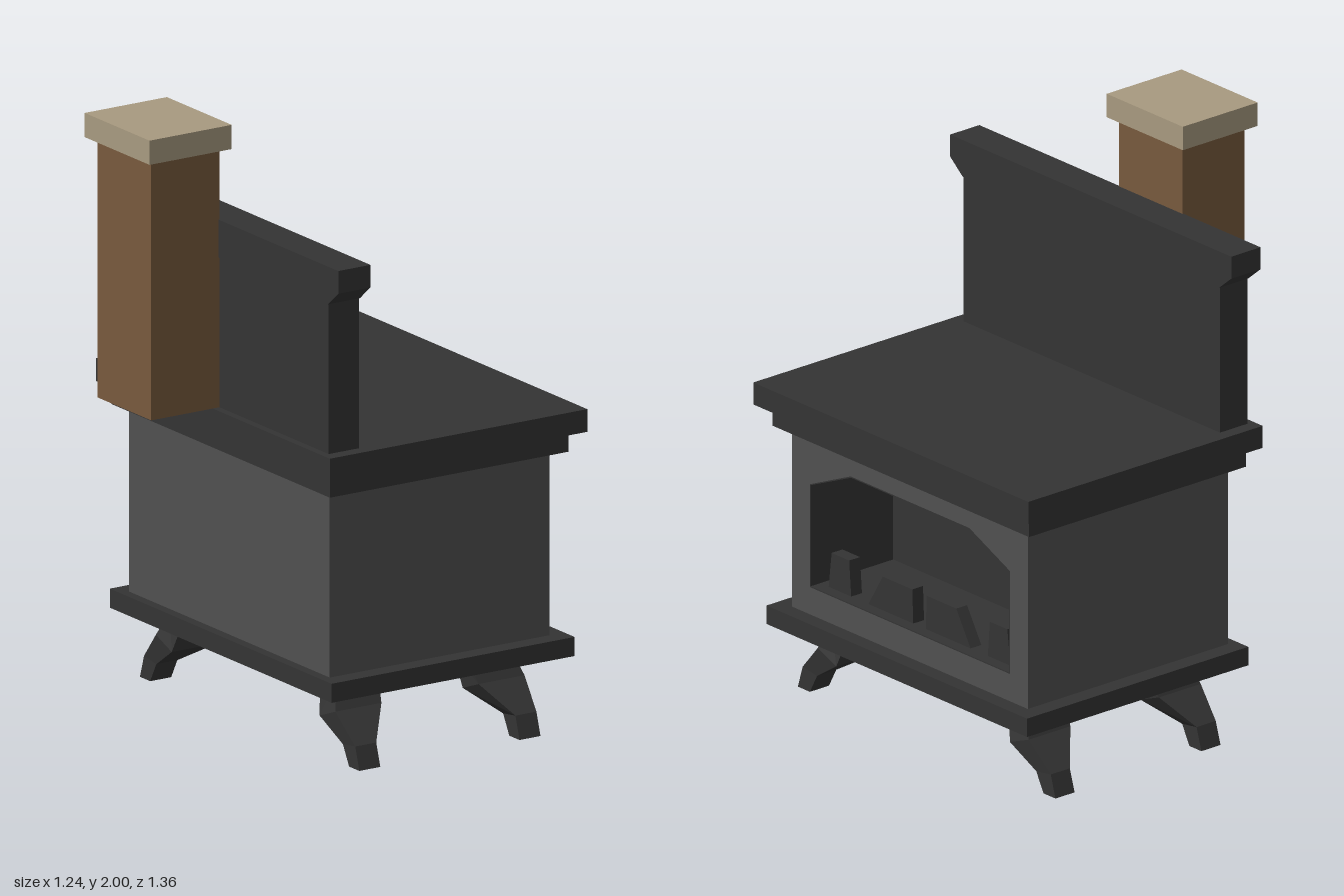
import * as THREE from 'three';

const mat = (color) => new THREE.MeshStandardMaterial({ color, flatShading: true });

export function createModel() {
  const group = new THREE.Group();
  const iron = mat(0x343434), steel = mat(0x505050), brick = mat(0x785a3d), stone = mat(0xa89a80);

  const add = (name, geometry, material) => {
    const mesh = new THREE.Mesh(geometry, material);
    mesh.name = name;
    group.add(mesh);
    return mesh;
  };
  // Box given by its limits on each axis
  const box = (name, material, [x0, x1], [y0, y1], [z0, z1]) =>
    add(name, new THREE.BoxGeometry(x1 - x0, y1 - y0, z1 - z0), material)
      .position.set((x0 + x1) / 2, (y0 + y1) / 2, (z0 + z1) / 2);

  const points = (list) => list.map(([u, y]) => new THREE.Vector2(u, y));
  // Outline in (-z, y), extruded along x from x0 to x1
  const slab = (name, material, outline, x0, x1, hole) => {
    const shape = new THREE.Shape(points(outline));
    if (hole) shape.holes.push(new THREE.Path(points(hole)));
    const g = new THREE.ExtrudeGeometry(shape, { depth: x1 - x0, bevelEnabled: false });
    add(name, g.rotateY(Math.PI / 2).translate(x0, 0, 0), material);
  };

  // Stacked plates
  box('basePlate', iron, [-0.33, 0.595], [0.245, 0.308], [-0.63, 0.63]);
  box('topTrim', iron, [-0.33, 0.578], [0.92, 0.99], [-0.62, 0.62]);
  box('topPlate', iron, [-0.36, 0.62], [0.99, 1.065], [-0.665, 0.665]);

  // Firebox body with an opening facing +x
  const opening = (e) => [
    [-0.48 - e, 0.405 - e], [0.48 + e, 0.405 - e], [0.48 + e, 0.75 + e / 2],
    [0.285 + e / 2, 0.835 + e], [-0.285 - e / 2, 0.835 + e], [-0.48 - e, 0.75 + e / 2],
  ];
  const wall = [[-0.57, 0.305], [0.57, 0.305], [0.57, 0.92], [-0.57, 0.92]];
  slab('fireboxWalls', steel, wall, 0.19, 0.54, opening(0.004));
  box('fireboxBack', steel, [-0.297, 0.19], [0.305, 0.92], [-0.57, 0.57]);
  slab('fireboxLining', iron, opening(0.004), 0.19, 0.54, opening(0));
  slab('fireboxBackLining', iron, opening(0.004), 0.185, 0.195);

  // Upright grate pieces inside the opening
  for (const s of [-1, 1]) {
    for (const outline of [
      [[0.33, 0.4], [0.44, 0.4], [0.425, 0.525], [0.34, 0.525]],
      [[0.03, 0.4], [0.25, 0.4], [0.178, 0.52], [0.035, 0.52]],
    ]) slab('gratePiece', iron, outline.map(([u, y]) => [s * u, y]), 0.455, 0.5);
  }

  // Back panel and flared cornice
  box('backPanel', iron, [-0.335, -0.22], [1.065, 1.6], [-0.62, 0.62]);
  slab('cornice', iron, [
    [-0.62, 1.56], [0.62, 1.56], [0.68, 1.61], [0.68, 1.685], [-0.68, 1.685], [-0.68, 1.61],
  ], -0.338, -0.216);

  // Chimney
  box('chimney', brick, [-0.595, -0.335], [1.065, 1.92], [-0.305, 0]);
  box('chimneyCap', stone, [-0.62, -0.307], [1.92, 2], [-0.34, 0.028]);

  // Bent legs lofted through four sections: [outer z, y], [inner z, y], [outer x, inner x]
  const sections = [
    [[0.47, 0.25], [0.385, 0.25], [0.335, 0.17]],
    [[0.51, 0.17], [0.42, 0.135], [0.36, 0.185]],
    [[0.6, 0.075], [0.53, 0.065], [0.345, 0.265]],
    [[0.623, 0], [0.565, 0], [0.345, 0.265]],
  ];
  const leg = (sx, sz) => {
    const pos = [], idx = [];
    const quad = (a, b, c, d) => idx.push(...(sx * sz > 0 ? [a, b, c, a, c, d] : [a, c, b, a, d, c]));
    for (const [o, i, [xo, xi]] of sections)
      for (const [x, [z, y]] of [[xi, o], [xo, o], [xo, i], [xi, i]])
        pos.push(0.125 + sx * x, y, sz * z);
    for (let s = 0; s < 3; s++)
      for (let k = 0; k < 4; k++) {
        const a = s * 4 + k, b = s * 4 + (k + 1) % 4;
        quad(a, a + 4, b + 4, b);
      }
    quad(0, 1, 2, 3);
    quad(15, 14, 13, 12);
    const g = new THREE.BufferGeometry();
    g.setAttribute('position', new THREE.Float32BufferAttribute(pos, 3));
    g.setIndex(idx);
    const flat = g.toNonIndexed();
    flat.computeVertexNormals();
    add('leg', flat, iron);
  };
  for (const sx of [-1, 1]) for (const sz of [-1, 1]) leg(sx, sz);

  return group;
}
